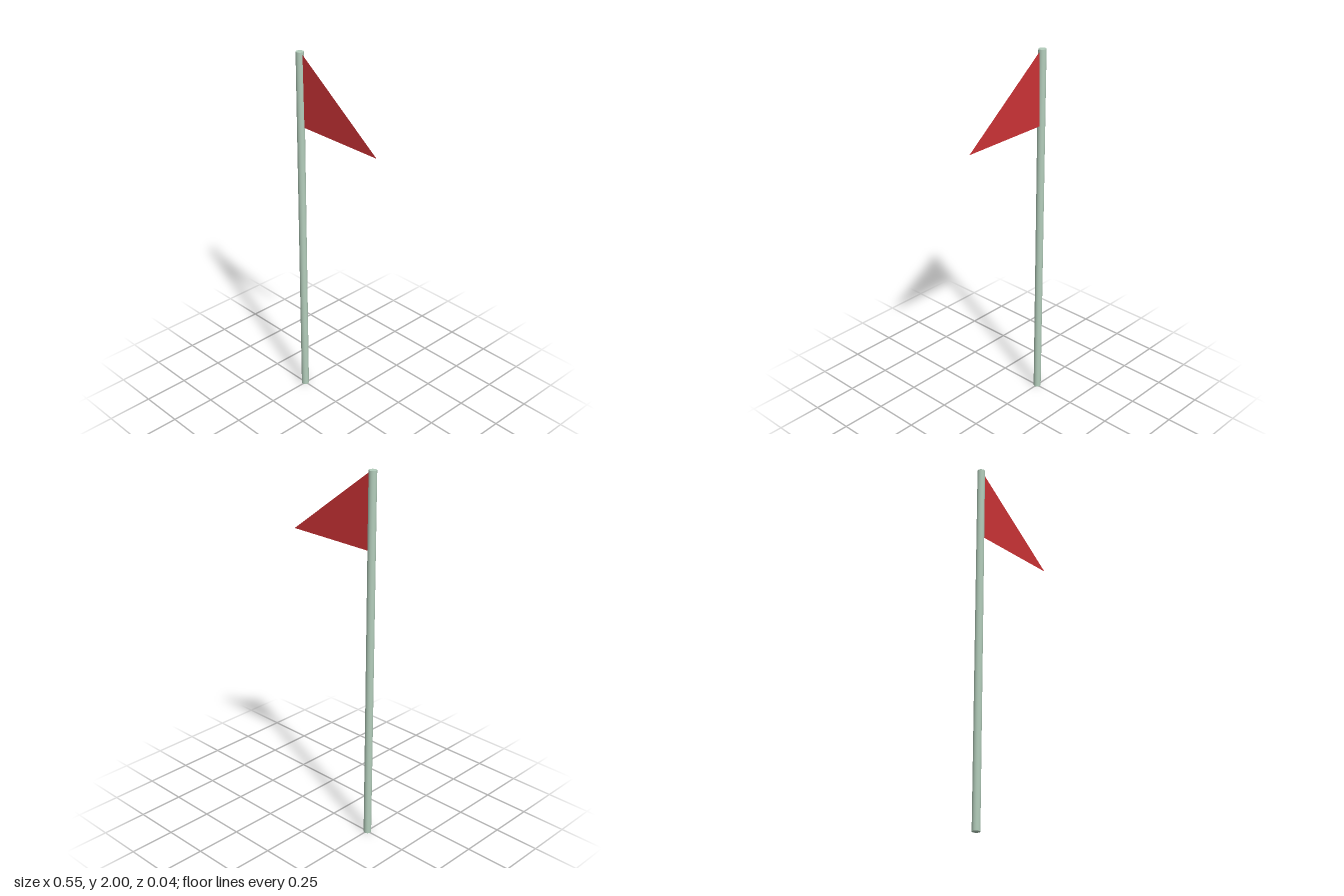
import * as THREE from 'three';

const POLE_X = -0.253;

export function createModel() {
  const model = new THREE.Group();

  // Slim upright pole
  const pole = new THREE.Mesh(
    new THREE.CylinderGeometry(0.0205, 0.0205, 2, 16),
    new THREE.MeshStandardMaterial({ color: 0xb4cebc })
  );
  pole.name = 'pole';
  pole.position.set(POLE_X, 1, 0);
  model.add(pole);

  // Triangular pennant, a single thin sheet leaning slightly backward
  const corners = [
    new THREE.Vector3(POLE_X + 0.005, 2, 0.001),
    new THREE.Vector3(POLE_X + 0.005, 1.6, -0.006),
    new THREE.Vector3(0.272, 1.6, -0.008),
  ];
  const sheet = new THREE.BufferGeometry().setFromPoints(corners);
  sheet.computeVertexNormals();
  const flag = new THREE.Mesh(
    sheet,
    new THREE.MeshStandardMaterial({ color: 0xcc3336, side: THREE.DoubleSide })
  );
  flag.name = 'flag';
  model.add(flag);

  return model;
}
